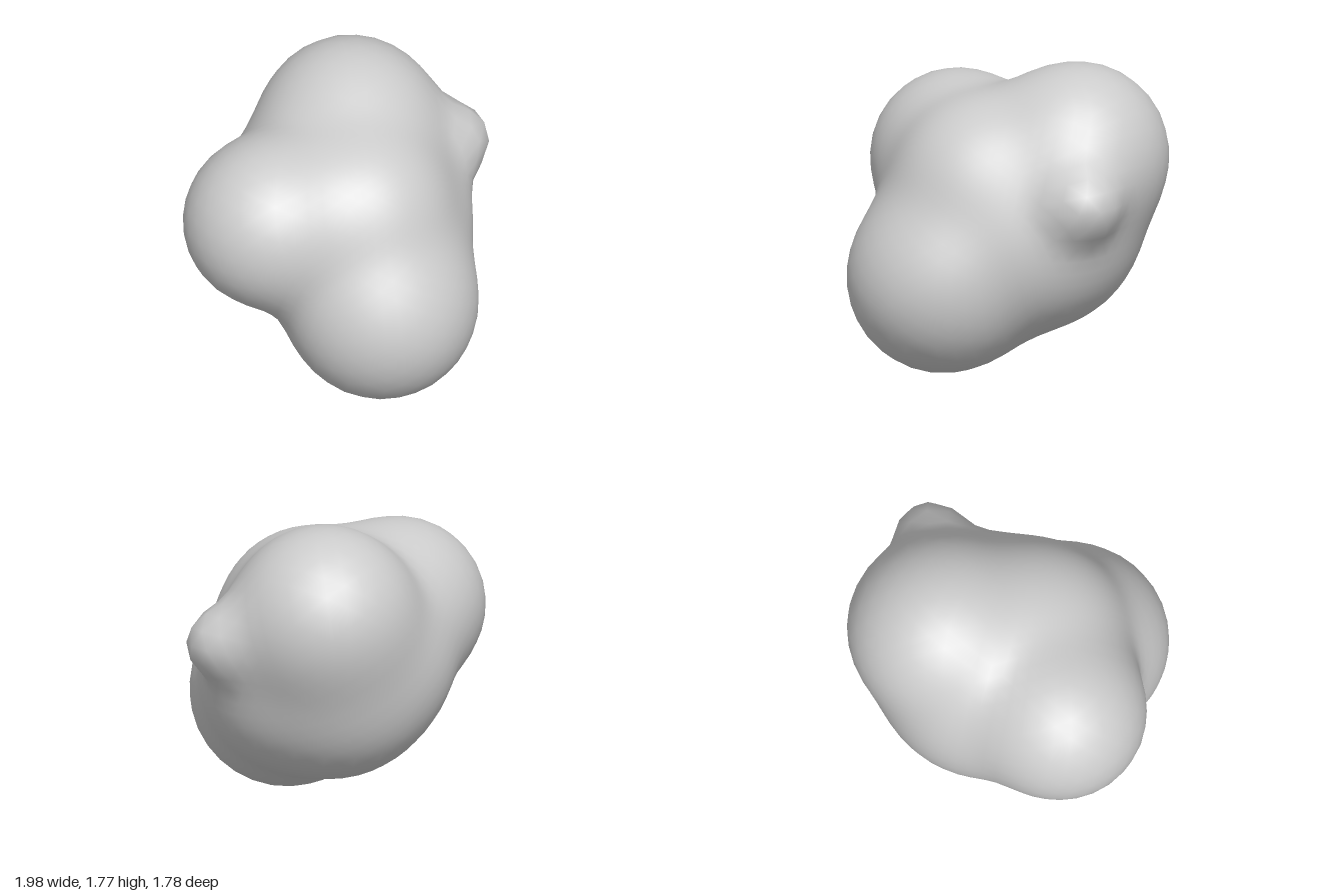
import * as THREE from 'three';
import { mergeVertices } from 'three/addons/utils/BufferGeometryUtils.js';

// Lobes of the blob: centre x, y, z and radius
const LOBES = [
  [-0.06, 0.56, 0.33, 0.55], // lower front
  [-0.50, 1.10, -0.15, 0.49], // side
  [0.32, 1.26, -0.365, 0.52], // upper back
  [0.14, 0.78, -0.29, 0.505], // lower back
  [-0.08, 0.90, -0.40, 0.385], // middle back
  [0.00, 1.10, 0.10, 0.475], // upper front
  [0.31, 0.79, -0.03, 0.45], // flank
  [0.82, 1.13, 0.00, 0.168], // small knob
];
const BLEND = 0.1;

// Smoothly blended distance to all lobes
function blobDistance(p) {
  let sum = 0;
  for (const [x, y, z, r] of LOBES) {
    const d = Math.hypot(p.x - x, p.y - y, p.z - z) - r;
    sum += Math.exp(-d / BLEND);
  }
  return -BLEND * Math.log(sum);
}

// Shrink-wrap a sphere of directions onto the blended lobes
function createBlobGeometry() {
  let geometry = new THREE.IcosahedronGeometry(1, 10);
  geometry.deleteAttribute('normal');
  geometry.deleteAttribute('uv');
  geometry = mergeVertices(geometry, 1e-4);
  const core = new THREE.Vector3(0.02, 0.95, -0.02);
  const position = geometry.attributes.position;
  const dir = new THREE.Vector3();
  const point = new THREE.Vector3();
  for (let i = 0; i < position.count; i++) {
    dir.fromBufferAttribute(position, i).normalize();
    let t = 1.6;
    for (let step = 0; step < 80; step++) {
      const d = blobDistance(point.copy(core).addScaledVector(dir, t));
      if (Math.abs(d) < 1e-4) break;
      t -= d * 0.9;
    }
    point.copy(core).addScaledVector(dir, t);
    position.setXYZ(i, point.x, point.y, point.z);
  }

  // Rest on the ground, centred
  geometry.computeBoundingBox();
  const box = geometry.boundingBox;
  const centre = box.getCenter(new THREE.Vector3());
  geometry.translate(-centre.x, -box.min.y, -centre.z);
  geometry.computeVertexNormals();
  return geometry;
}

export function createModel() {
  const group = new THREE.Group();
  group.name = 'blob';
  const grey = new THREE.MeshStandardMaterial({ color: 0xcccccc });
  grey.name = 'light grey';
  const body = new THREE.Mesh(createBlobGeometry(), grey);
  body.name = 'lobedBody';
  group.add(body);
  return group;
}
